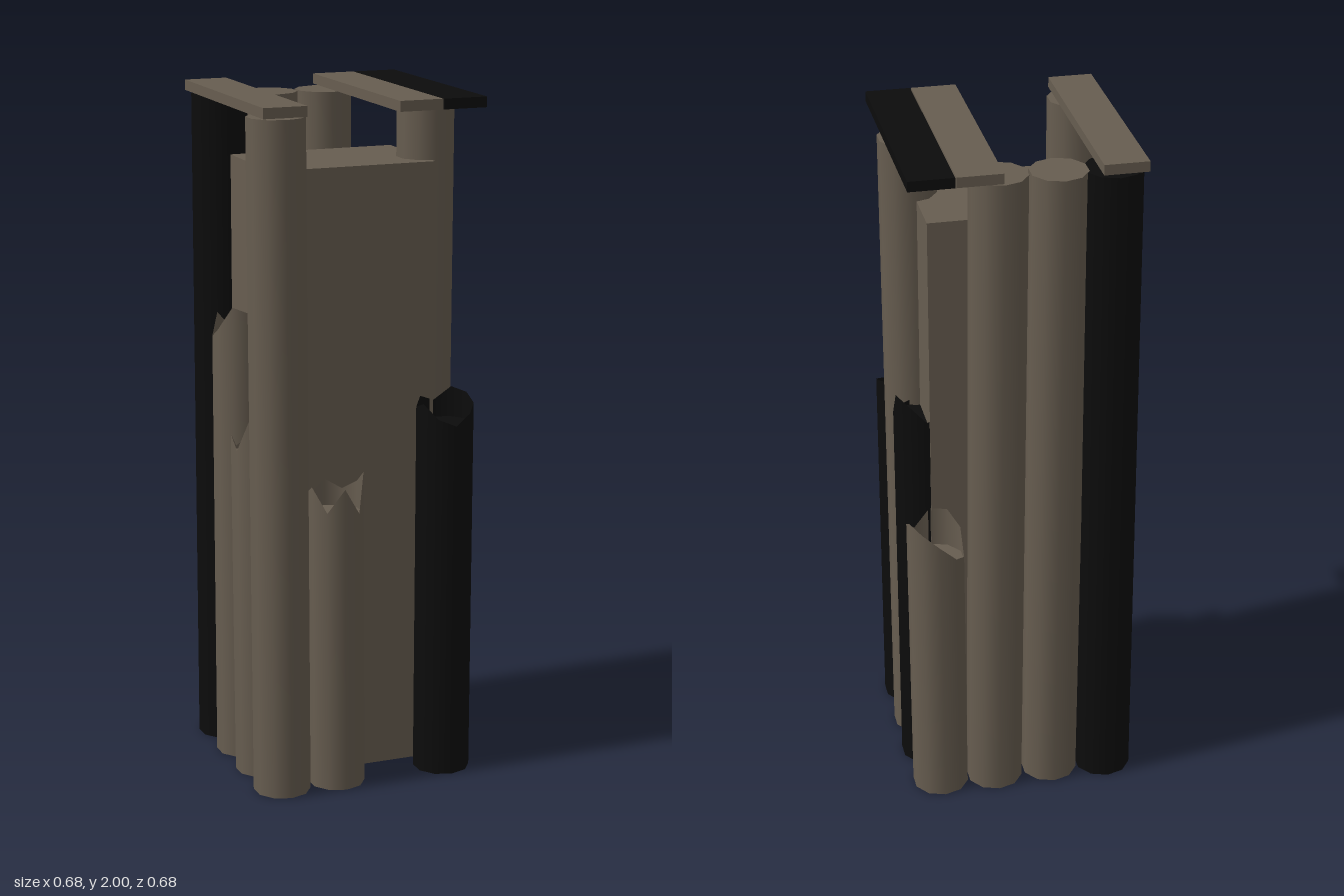
import * as THREE from 'three';

const wood = new THREE.MeshStandardMaterial({ color: 0x675d50, side: THREE.DoubleSide });
wood.name = 'weatheredWood';
const charred = new THREE.MeshStandardMaterial({ color: 0x0c0c0c, side: THREE.DoubleSide });
charred.name = 'charredWood';

const SIDES = 10, RADIUS = 0.083, FULL = 1.965;

// A leaning log from base [x, z] to top [x, z]; rim lists the height of each
// corner of its upper end, counted from +z towards +x.
function makeLog(name, material, base, top, rim) {
  const log = new THREE.Group();
  log.name = name;
  const heights = rim || new Array(SIDES).fill(FULL);
  const floorY = rim ? Math.min(...rim) - 0.01 : FULL;
  const reach = Math.max(...heights);
  const axisAt = (y) => [
    base[0] + (top[0] - base[0]) * y / reach,
    base[1] + (top[1] - base[1]) * y / reach,
  ];

  const wall = new THREE.CylinderGeometry(RADIUS, RADIUS, 1, SIDES, 1, true);
  const p = wall.attributes.position;
  for (let i = 0; i < p.count; i++) {
    const y = p.getY(i) > 0 ? heights[i % (SIDES + 1) % SIDES] : 0;
    const [cx, cz] = axisAt(y);
    p.setXYZ(i, p.getX(i) + cx, y, p.getZ(i) + cz);
  }
  const bark = new THREE.Mesh(wall, material);
  bark.name = 'bark';
  log.add(bark);

  // Flat ends; the upper one sits inside the splintered rim of a broken log
  for (const [endName, y, turn] of [['lowerEnd', 0, 1], ['upperEnd', floorY, -1]]) {
    const disc = new THREE.CircleGeometry(RADIUS, SIDES, Math.PI / 2);
    const end = new THREE.Mesh(disc.rotateX(turn * Math.PI / 2), material);
    // Line the corners up with the wall
    if (turn < 0) end.rotation.y = Math.PI;
    const [cx, cz] = axisAt(y);
    end.position.set(cx, y, cz);
    end.name = endName;
    log.add(end);
  }
  return log;
}

function makeBox(name, material, min, max) {
  const size = max.map((v, i) => v - min[i]);
  const mesh = new THREE.Mesh(new THREE.BoxGeometry(...size), material);
  mesh.position.set(...max.map((v, i) => (v + min[i]) / 2));
  mesh.name = name;
  return mesh;
}

export function createModel() {
  const model = new THREE.Group();
  model.name = 'ruinedLogTower';

  // Solid core
  model.add(makeBox('core', wood, [-0.25, 0, -0.16], [0.25, 1.8, 0.172]));

  // Roof planks
  const planks = [
    ['rightPlank', wood, -0.33, -0.203],
    ['leftPlank', wood, 0.07, 0.199],
    ['charredPlank', charred, 0.202, 0.331],
  ];
  for (const [name, material, x0, x1] of planks) {
    model.add(makeBox(name, material, [x0, 1.97, -0.327], [x1, 2, 0.337]));
  }

  // Whole logs, and broken logs with splintered rims
  const logs = [
    ['frontRightLog', wood, [-0.255, 0.255], [-0.265, 0.257]],
    ['leftFrontLog', wood, [0.25, 0.085], [0.262, 0.07]],
    ['backRightLog', wood, [-0.085, -0.245], [-0.097, -0.25]],
    ['backLeftLog', wood, [0.085, -0.25], [0.068, -0.243]],
    ['charredCornerLog', charred, [-0.25, -0.252], [-0.246, -0.26]],
    ['brokenFrontLog', wood, [-0.085, 0.255], [-0.092, 0.257],
      [0.91, 0.83, 0.94, 0.9, 0.87, 0.9, 0.86, 0.88, 0.91, 0.84]],
    ['brokenBackCornerLog', wood, [0.25, -0.245], [0.255, -0.24],
      [0.9, 0.85, 0.89, 0.92, 0.9, 0.86, 0.81, 0.79, 0.86, 0.9]],
    ['charredFrontLog', charred, [0.25, 0.255], [0.253, 0.25],
      [1.06, 1.09, 1.11, 1.13, 1.14, 1.1, 1.12, 1.1, 1.12, 1.08]],
    ['charredLeftLog', charred, [0.255, -0.08], [0.258, -0.075],
      [1.18, 1.17, 1.17, 1.25, 1.23, 1.18, 1.2, 1.18, 1.17, 1.19]],
    ['brokenRightBackLog', wood, [-0.25, -0.085], [-0.25, -0.085],
      [1.36, 1.4, 1.37, 1.3, 1.33, 1.29, 1.34, 1.28, 1.31, 1.38]],
    ['brokenRightFrontLog', wood, [-0.25, 0.085], [-0.256, 0.085],
      [1.08, 1.13, 1.1, 1.04, 1.07, 1.0, 0.98, 1.03, 0.99, 1.1]],
  ];
  for (const log of logs) model.add(makeLog(...log));

  return model;
}
